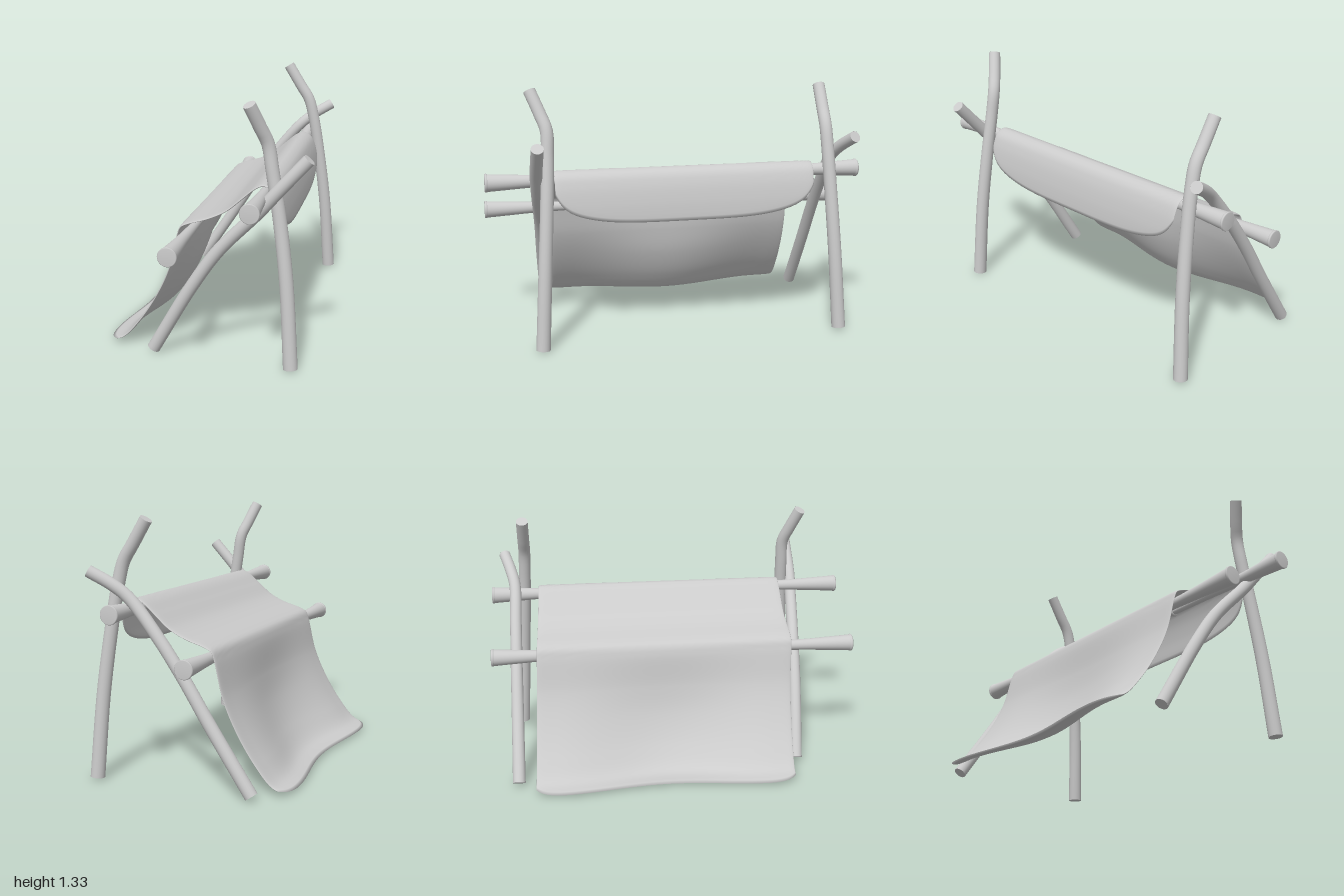
import * as THREE from 'three';
import { ParametricGeometry } from 'three/addons/geometries/ParametricGeometry.js';

const material = new THREE.MeshStandardMaterial({ color: 0xcccccc, side: THREE.DoubleSide });
const lerp = THREE.MathUtils.lerp;
const curveOf = (pts) => new THREE.CatmullRomCurve3(pts.map(([x, y, z = 0]) => new THREE.Vector3(x, y, z)));

function addMesh(parent, name, geometry) {
  const mesh = new THREE.Mesh(geometry, material);
  mesh.name = name;
  parent.add(mesh);
  return mesh;
}

// Bent stick: a tube that tapers from r0 to r1, closed by flat ends
function stick(name, pts, r0, r1) {
  const group = new THREE.Group();
  group.name = name;
  const curve = curveOf(pts), n = 48, sides = 20;
  const tube = new THREE.TubeGeometry(curve, n, 1, sides);
  const pos = tube.attributes.position, p = new THREE.Vector3();
  for (let i = 0; i <= n; i++) {
    const c = curve.getPointAt(i / n);
    for (let j = 0; j <= sides; j++) {
      const k = i * (sides + 1) + j;
      p.fromBufferAttribute(pos, k).sub(c).multiplyScalar(lerp(r0, r1, i / n)).add(c);
      pos.setXYZ(k, p.x, p.y, p.z);
    }
  }
  addMesh(group, name + 'Shaft', tube);
  for (const [t, r, dir] of [[0, r0, -1], [1, r1, 1]]) {
    const cap = addMesh(group, name + 'End', new THREE.CircleGeometry(r, sides));
    const c = curve.getPointAt(t);
    cap.position.copy(c);
    cap.lookAt(c.addScaledVector(curve.getTangentAt(t), dir));
  }
  return group;
}

// Crossbar: thick at both ends, slim in the middle, with two small collars
function crossbar(name, x, y) {
  const group = new THREE.Group();
  group.name = name;
  const half = [[0.018, 0.2], [0.022, 0.45], [0.028, 0.65], [0.032, 0.76], [0.045, 0.985]];
  const profile = [...half.map(([r, z]) => [r, -z]).reverse(), ...half];
  const bar = addMesh(group, name + 'Shaft',
    new THREE.LatheGeometry(profile.map(([r, z]) => new THREE.Vector2(r, z)), 28));
  bar.rotation.x = Math.PI / 2;
  for (const s of [-1, 1]) {
    const end = [[0.045, 0.985], [0.048, 0.989], [0.048, 0.996], [0.044, 1], [0, 1]];
    const cap = addMesh(group, name + 'End',
      new THREE.LatheGeometry(end.map(([r, z]) => new THREE.Vector2(r, z)), 28));
    cap.rotation.x = s * Math.PI / 2;
    const collar = addMesh(group, name + 'Collar', new THREE.TorusGeometry(0.018, 0.01, 10, 24));
    collar.position.z = s * 0.2;
  }
  group.position.set(x, y, 0);
  return group;
}

// Draped sheet: a side profile swept across, blended between its middle and its edges
function drape() {
  const upper = [[-0.147, 0.635], [-0.13, 0.677], [-0.09, 0.698], [0.007, 0.728], [0.1, 0.772],
    [0.185, 0.842], [0.25, 0.896], [0.29, 0.912], [0.335, 0.89], [0.36, 0.84], [0.38, 0.75], [0.39, 0.645]];
  const middle = curveOf([[-0.485, 0.018], [-0.38, 0.035], [-0.285, 0.14], [-0.205, 0.3], [-0.168, 0.45], ...upper]);
  const edge = curveOf([[-0.547, 0.02], [-0.46, 0.045], [-0.37, 0.14], [-0.27, 0.29], [-0.195, 0.45], ...upper]);
  const surface = (u, v, target) => {
    const outer = u <= 0.5;
    const t = outer ? u * 2 : 2 - u * 2;
    const q = Math.sin((v - 0.5) * Math.PI), a = Math.abs(q);
    // rounded corners at the hem and a curved lower edge on the hanging flap
    const s = lerp(0.035 * a ** 16, 1 - 0.06 * a ** 4 - 0.04 * a ** 20, t);
    const w = 0.5 - 0.5 * Math.cos(Math.PI * Math.min(1, a / 0.85));
    const p = middle.getPointAt(s).lerp(edge.getPointAt(s), w);
    const d = middle.getTangentAt(s).lerp(edge.getTangentAt(s), w).normalize();
    const h = 0.006 * Math.sqrt(Math.max(0, (1 - a ** 40) * (1 - Math.abs(2 * t - 1) ** 60))) * (outer ? 1 : -1);
    const z = lerp(lerp(0.61, 0.65, Math.min(1, s * 1.8)), lerp(-0.785, -0.725, s), (q + 1) / 2);
    target.set(p.x - d.y * h, p.y + d.x * h, z);
  };
  return new ParametricGeometry(surface, 160, 64);
}

export function createModel() {
  const model = new THREE.Group();
  model.name = 'drapedRack';

  // Crossbars
  model.add(crossbar('upperCrossbar', 0.29, 0.868), crossbar('lowerCrossbar', -0.1, 0.636));

  // Leaning legs
  model.add(stick('leftLeaningLeg', [[-0.275, 0.025, 0.665], [-0.06, 0.39, 0.695], [0.08, 0.59, 0.71],
    [0.28, 0.8, 0.735], [0.38, 0.915, 0.745], [0.525, 1.075, 0.745]], 0.034, 0.032));
  model.add(stick('rightLeaningLeg', [[-0.39, 0.025, -0.875], [-0.18, 0.34, -0.872], [-0.03, 0.575, -0.87],
    [0.1, 0.757, -0.868], [0.25, 0.935, -0.868], [0.33, 1.0, -0.89], [0.44, 1.065, -0.925]], 0.034, 0.031));

  // Upright legs with bent tops
  model.add(stick('leftUprightLeg', [[0.45, 0.01, 0.74], [0.42, 0.44, 0.715], [0.38, 0.76, 0.695],
    [0.34, 1.0, 0.683], [0.317, 1.13, 0.682], [0.285, 1.21, 0.71], [0.24, 1.325, 0.757]], 0.037, 0.032));
  model.add(stick('rightUprightLeg', [[0.45, 0.015, -0.872], [0.42, 0.44, -0.845], [0.38, 0.76, -0.825],
    [0.34, 1.0, -0.812], [0.31, 1.11, -0.808], [0.26, 1.19, -0.808], [0.183, 1.315, -0.808]], 0.037, 0.032));

  // Sheet hung over both crossbars
  addMesh(model, 'drapedSheet', drape());
  return model;
}
